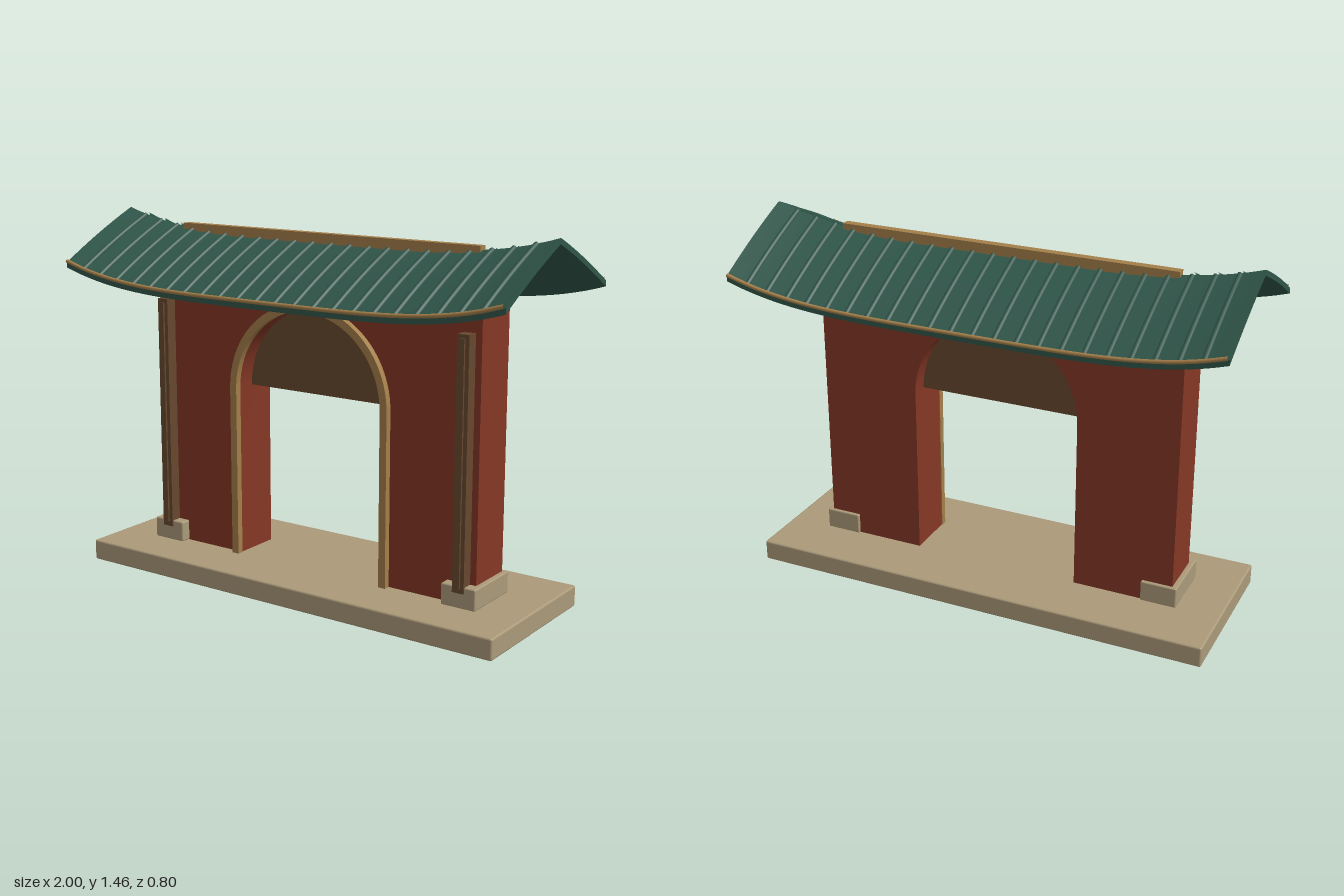
import * as THREE from 'three';
import { toCreasedNormals } from 'three/addons/utils/BufferGeometryUtils.js';
import { RoundedBoxGeometry } from 'three/addons/geometries/RoundedBoxGeometry.js';

function material(name, color) {
  const m = new THREE.MeshStandardMaterial({ color });
  m.name = name;
  return m;
}

// Height of the roof's top surface: upswept ends, slopes steepening to the eaves
function roofY(x, z) {
  const d = Math.abs(z);
  return 1.38 + 0.082 * x ** 4 - 0.42 * d - 0.2 * d * d;
}

export function createModel() {
  const group = new THREE.Group();
  const stone = material('stone', 0xab9a79);
  const red = material('red plaster', 0x853725);
  const wood = material('dark wood', 0x67482f);
  const gold = material('gilded trim', 0xa47f4a);
  const green = material('green tile', 0x30564a);

  function add(name, geometry, mat, x = 0, y = 0, z = 0) {
    const mesh = new THREE.Mesh(geometry, mat);
    mesh.name = name;
    mesh.position.set(x, y, z);
    group.add(mesh);
    return mesh;
  }
  const box = (w, h, d) => new THREE.BoxGeometry(w, h, d);
  const extrude = (shape, depth) => toCreasedNormals(
    new THREE.ExtrudeGeometry(shape, { depth, bevelEnabled: false, curveSegments: 32 }), 0.5);

  const floor = 0.085, spring = 0.78, opening = 0.347;

  // Plinth
  add('plinth', new RoundedBoxGeometry(1.91, floor, 0.67, 2, 0.008), stone, 0, floor / 2, 0);

  // Wall with an arched gateway
  const wall = new THREE.Shape();
  wall.moveTo(-0.757, floor);
  wall.lineTo(-opening, floor);
  wall.lineTo(-opening, spring);
  wall.absarc(0, spring, opening, Math.PI, 0, true);
  wall.lineTo(opening, floor);
  wall.lineTo(0.757, floor);
  wall.lineTo(0.757, 1.19);
  wall.lineTo(-0.757, 1.19);
  wall.closePath();
  add('wall', extrude(wall, 0.2), red, 0, 0, -0.1);

  // Half-round panel filling the top of the arch
  const lunette = new THREE.Shape();
  lunette.absarc(0, spring, opening, 0, Math.PI, false);
  lunette.closePath();
  add('archPanel', extrude(lunette, 0.05), wood, 0, 0, -0.03);

  // Gilded surround of the gateway
  const inner = 0.343, outer = 0.374;
  const trim = new THREE.Shape();
  trim.moveTo(-outer, floor);
  trim.lineTo(-inner, floor);
  trim.lineTo(-inner, spring);
  trim.absarc(0, spring, inner, Math.PI, 0, true);
  trim.lineTo(inner, floor);
  trim.lineTo(outer, floor);
  trim.lineTo(outer, spring);
  trim.absarc(0, spring, outer, 0, Math.PI, false);
  trim.closePath();
  add('archTrim', extrude(trim, 0.027), gold, 0, 0, 0.1);

  // Plaque over the arch
  add('plaque', box(0.33, 0.06, 0.015), green, 0, 1.15, 0.1325);

  // Columns on stone footings
  for (const s of [-1, 1]) {
    add('footing', new RoundedBoxGeometry(0.147, 0.085, 0.256, 2, 0.006), stone, s * 0.704, 0.1275, 0.015);
    add('column', box(0.05, 0.97, 0.052), wood, s * 0.706, 0.63, 0.121);
    add('columnRib', box(0.018, 0.935, 0.01), wood, s * 0.706, 0.6325, 0.15);
  }

  // Curved roof slab, bent from a flat box
  const thickness = 0.022;
  const slab = new THREE.BoxGeometry(2, thickness, 0.776, 48, 1, 24);
  const p = slab.attributes.position;
  for (let i = 0; i < p.count; i++) {
    p.setY(i, p.getY(i) - thickness / 2 + roofY(p.getX(i), p.getZ(i)));
  }
  add('roof', toCreasedNormals(slab, 0.4), green);

  // Tile ribs running down both slopes
  const ribCount = 22;
  for (const s of [-1, 1]) {
    for (let i = 0; i < ribCount; i++) {
      const x = -0.91 + (1.82 * i) / (ribCount - 1);
      const points = [0.005, 0.1, 0.2, 0.3, 0.382].map(
        (z) => new THREE.Vector3(x, roofY(x, z) + 0.001, s * z));
      add('tileRib', new THREE.TubeGeometry(new THREE.CatmullRomCurve3(points), 8, 0.01, 8), green);
    }
    // Gilded edge along the eave
    const edge = [];
    for (let i = 0; i <= 20; i++) {
      const x = -0.995 + 1.99 * i / 20;
      edge.push(new THREE.Vector3(x, roofY(x, 0.39) + 0.008, s * 0.392));
    }
    add('eaveTrim', new THREE.TubeGeometry(new THREE.CatmullRomCurve3(edge), 48, 0.008, 8), gold);
  }

  // Ridge beam
  add('ridgeBeam', box(1.39, 0.04, 0.035), gold, 0, 1.395, 0);

  return group;
}
